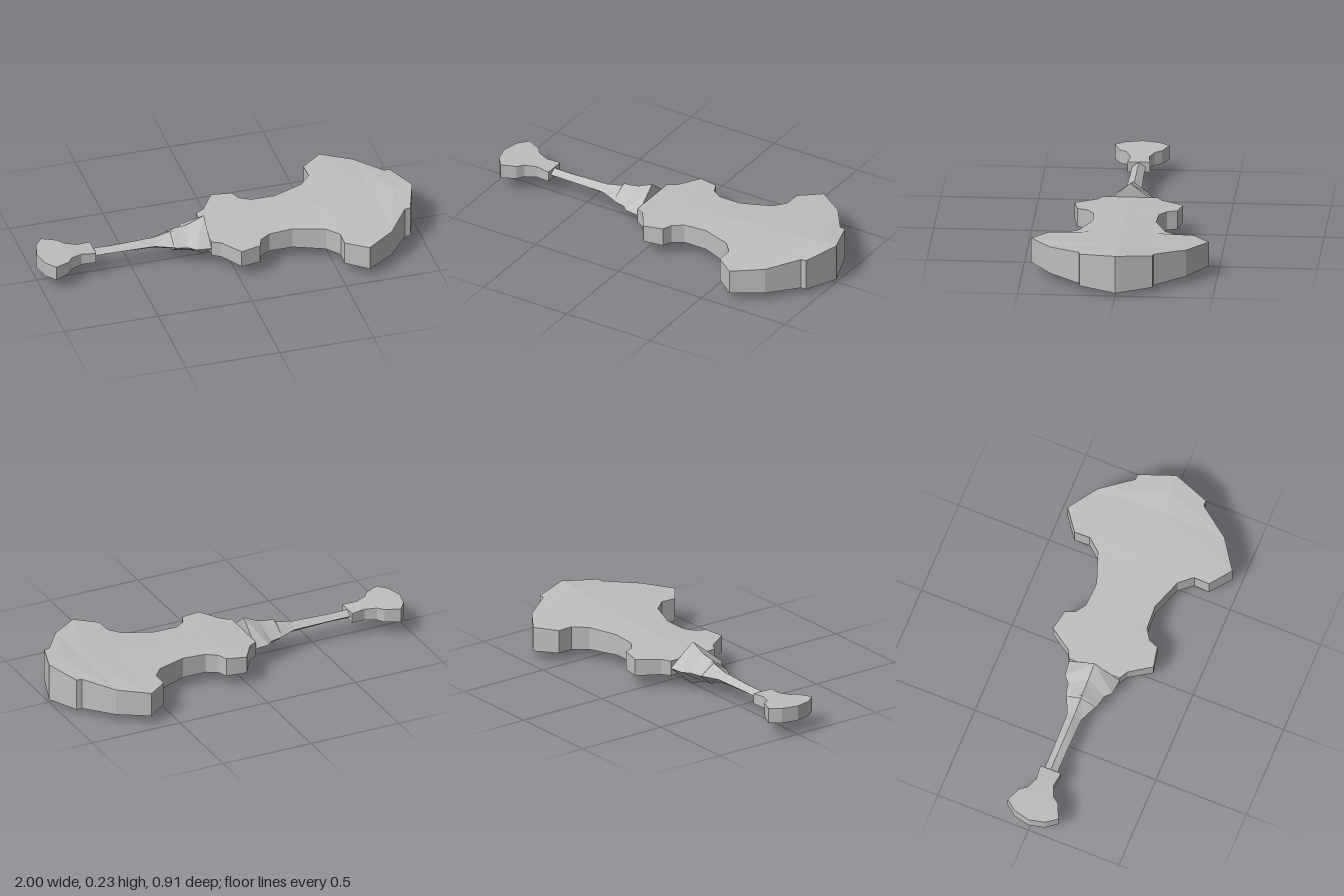
import * as THREE from 'three';

const MID_Y = 0.115;

// Collects quads on the +z side and mirrors each one to the -z side
function mirroredGeometry(build) {
  const pos = [];
  const tri = (...pts) => pts.forEach(([x, y, z]) => pos.push(x, y + MID_Y, z));
  const quad = (a, b, c, d) => {
    tri(a, b, c);
    tri(a, c, d);
    const [ma, mb, mc, md] = [a, b, c, d].map(([x, y, z]) => [x, y, -z]);
    tri(mc, mb, ma);
    tri(md, mc, ma);
  };
  build(quad);
  const geometry = new THREE.BufferGeometry();
  geometry.setAttribute('position', new THREE.Float32BufferAttribute(pos, 3));
  geometry.computeVertexNormals();
  return geometry;
}

// Piecewise linear lookup in [x, value] pairs
function sample(table, x) {
  for (let i = 1; i < table.length; i++) {
    const [x0, v0] = table[i - 1], [x1, v1] = table[i];
    if (x <= x1) return v0 + (v1 - v0) * Math.max(0, (x - x0) / (x1 - x0));
  }
  return table[table.length - 1][1];
}

// Slab with upright walls and a central ridge: outline is [x, half width]
function slab(outline, edge, ridge) {
  return mirroredGeometry((quad) => {
    for (let i = 1; i < outline.length; i++) {
      const [x0, z0] = outline[i - 1], [x1, z1] = outline[i];
      const e0 = z0 === 0 ? sample(ridge, x0) : sample(edge, x0);
      const e1 = z1 === 0 ? sample(ridge, x1) : sample(edge, x1);
      const r0 = sample(ridge, x0), r1 = sample(ridge, x1);
      quad([x0, -e0, z0], [x1, -e1, z1], [x1, e1, z1], [x0, e0, z0]);
      if (x0 === x1) continue;
      quad([x0, e0, z0], [x1, e1, z1], [x1, r1, 0], [x0, r0, 0]);
      quad([x0, -r0, 0], [x1, -r1, 0], [x1, -e1, z1], [x0, -e0, z0]);
    }
  });
}

// Diamond-section bar: rings are [x, half height, half width]
function diamondBar(rings) {
  return mirroredGeometry((quad) => {
    for (let i = 1; i < rings.length; i++) {
      const [x0, h0, w0] = rings[i - 1], [x1, h1, w1] = rings[i];
      quad([x0, 0, w0], [x1, 0, w1], [x1, h1, 0], [x0, h0, 0]);
      quad([x0, -h0, 0], [x1, -h1, 0], [x1, 0, w1], [x0, 0, w0]);
    }
    // End caps
    const [xa, ha, wa] = rings[0], [xb, hb, wb] = rings[rings.length - 1];
    quad([xa, -ha, 0], [xa, 0, wa], [xa, ha, 0], [xa, 0, 0]);
    quad([xb, ha === 0 ? 0 : hb, 0], [xb, 0, wb], [xb, -hb, 0], [xb, 0, 0]);
  });
}

export function createModel() {
  const group = new THREE.Group();
  const grey = new THREE.MeshStandardMaterial({ color: 0xbebebe, flatShading: true });
  grey.name = 'plain grey';
  const add = (name, geometry) => {
    const mesh = new THREE.Mesh(geometry, grey);
    mesh.name = name;
    group.add(mesh);
  };

  // Broad blade, thickening towards its far tip
  add('blade', slab(
    [[-0.11, 0], [-0.11, 0.14], [-0.065, 0.165], [0.01, 0.278], [0.115, 0.256], [0.135, 0.205],
      [0.19, 0.168], [0.315, 0.162], [0.475, 0.22], [0.535, 0.29], [0.53, 0.372], [0.64, 0.455],
      [0.79, 0.35], [0.905, 0.19], [0.935, 0.187], [1, 0]],
    [[-0.11, 0.04], [0.1, 0.049], [0.64, 0.065], [0.79, 0.071], [0.905, 0.084], [1, 0.088]],
    [[-0.11, 0.04], [0.1, 0.053], [0.74, 0.083], [0.9, 0.098], [1, 0.1]]));

  // Slim handle flaring into the guard
  add('handleAndGuard', diamondBar([
    [-0.7, 0.025, 0.035], [-0.6, 0.023, 0.035], [-0.38, 0.031, 0.04], [-0.29, 0.051, 0.08],
    [-0.28, 0.066, 0.087], [-0.22, 0.072, 0.1], [-0.19, 0.079, 0.13], [-0.11, 0.115, 0.14]]));

  // Flat fan-shaped pommel
  const pommelHalf = [[-1, 0.04], [-0.94, 0.039], [-0.84, 0.035], [-0.775, 0.031], [-0.7, 0.027]];
  add('pommel', slab(
    [[-1, 0], [-0.98, 0.085], [-0.937, 0.14], [-0.86, 0.107], [-0.835, 0.072],
      [-0.775, 0.048], [-0.7, 0.057], [-0.7, 0]],
    pommelHalf, pommelHalf));

  return group;
}
